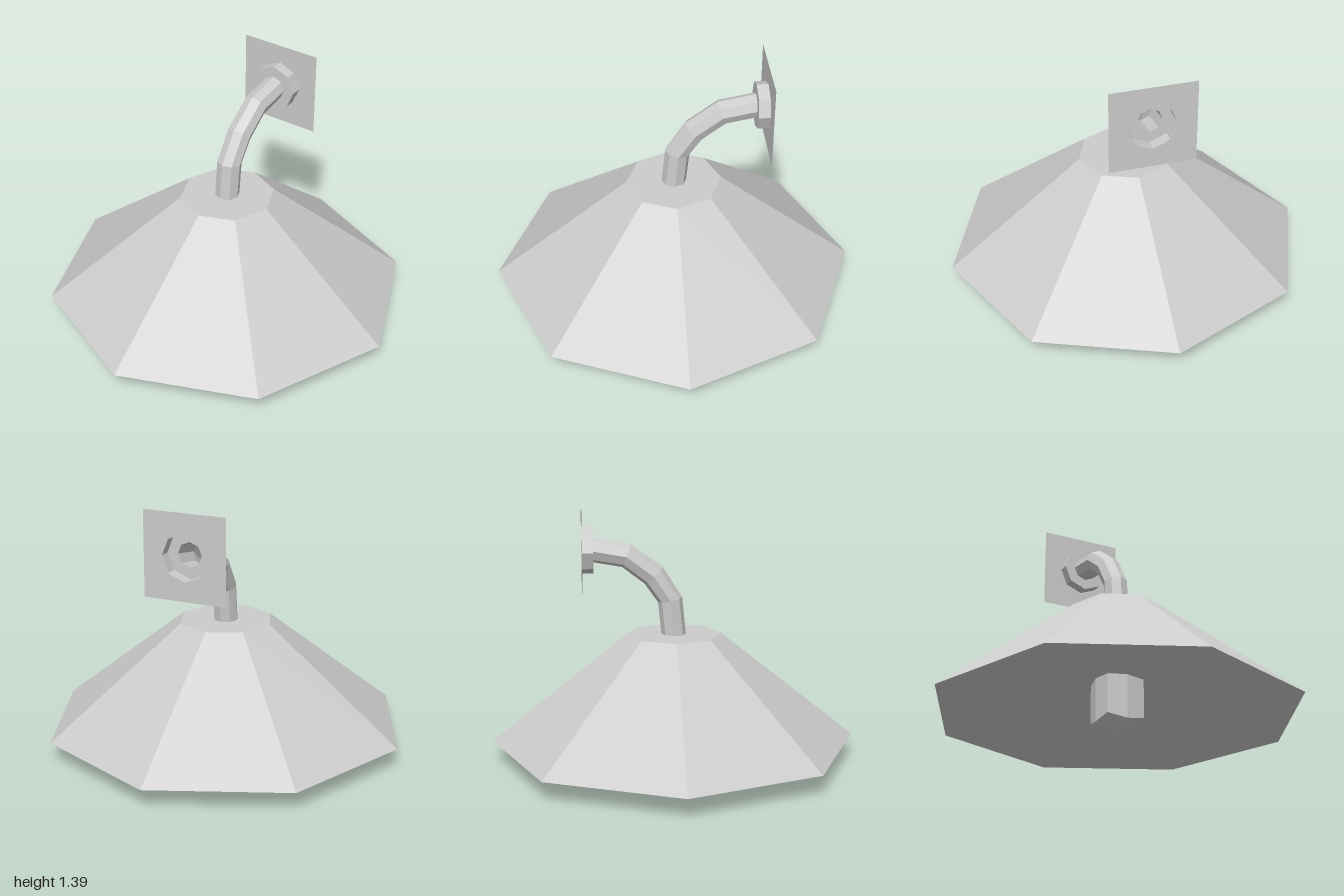
import * as THREE from 'three';

const material = new THREE.MeshStandardMaterial({ color: 0xcccccc, flatShading: true, side: THREE.DoubleSide });

function part(name, geometry, parent) {
  const mesh = new THREE.Mesh(geometry, material);
  mesh.name = name;
  parent.add(mesh);
  return mesh;
}

// Joins rings of equal length with quads; a one-point end becomes a fan.
function loft(rings) {
  const pos = [];
  const add = (...pts) => pts.forEach((p) => pos.push(p.x, p.y, p.z));
  for (let r = 0; r < rings.length - 1; r++) {
    const a = rings[r], b = rings[r + 1], n = Math.max(a.length, b.length);
    for (let i = 0; i < n; i++) {
      const j = (i + 1) % n;
      const at = (ring, k) => ring[k % ring.length];
      if (a.length > 1) add(at(a, i), at(b, j), at(a, j));
      if (b.length > 1) add(at(a, i), at(b, i), at(b, j));
    }
  }
  const g = new THREE.BufferGeometry();
  g.setAttribute('position', new THREE.Float32BufferAttribute(pos, 3));
  g.computeVertexNormals();
  return g;
}

// Eight-sided pipe bending from the shade back to the wall
function armGeometry(radius) {
  const path = [[0.69, 0], [0.89, -0.02], [1.025, -0.11], [1.133, -0.255], [1.165, -0.433]];
  const tilts = [0, 0.2, 0.75, 1.2, Math.PI / 2];
  return loft(path.map(([y, z], k) => Array.from({ length: 8 }, (_, i) => {
    const a = (i * Math.PI) / 4;
    const u = Math.cos(a) * radius;
    return new THREE.Vector3(Math.sin(a) * radius, y + u * Math.sin(tilts[k]), z + u * Math.cos(tilts[k]));
  })));
}

// Squarish eight-sided bulb with pointed ends
function bulbGeometry() {
  const ring = (midY, cornerY) => Array.from({ length: 8 }, (_, i) => {
    const a = (i * Math.PI) / 4;
    const r = i % 2 ? 0.149 : 0.125;
    return new THREE.Vector3(Math.sin(a) * r, i % 2 ? cornerY : midY, Math.cos(a) * r);
  });
  return loft([
    [new THREE.Vector3(0, 0.36, 0)],
    ring(0.308, 0.287),
    ring(0.052, 0.073),
    [new THREE.Vector3(0, 0, 0)],
  ]);
}

export function createModel() {
  const lamp = new THREE.Group();
  lamp.name = 'wallLamp';

  // Shade with a flat top and a shallow hollow underside
  const shade = new THREE.LatheGeometry(
    [[0, 0.32], [1, 0.11], [0.26, 0.7], [0, 0.7]].map(([r, y]) => new THREE.Vector2(r, y)), 8);
  part('shade', shade, lamp);

  part('bulb', bulbGeometry(), lamp);
  part('arm', armGeometry(0.067), lamp);

  // Collar around the pipe end, hollow towards the wall
  const collar = new THREE.LatheGeometry(
    [[0.127, 0], [0.127, 0.062], [0.067, 0.062]].map(([r, y]) => new THREE.Vector2(r, y)), 8);
  collar.rotateX(Math.PI / 2);
  part('collar', collar, lamp).position.set(0, 1.165, -0.495);

  // Thin square wall plate with an octagonal opening
  const h = 0.23;
  const outline = new THREE.Shape([[-h, -h], [h, -h], [h, h], [-h, h]].map(([x, y]) => new THREE.Vector2(x, y)));
  outline.holes.push(new THREE.Path(Array.from({ length: 8 }, (_, i) =>
    new THREE.Vector2(0.127 * Math.cos((i * Math.PI) / 4), 0.127 * Math.sin((i * Math.PI) / 4)))));
  part('wallPlate', new THREE.ShapeGeometry(outline), lamp).position.set(0, 1.163, -0.495);

  return lamp;
}
